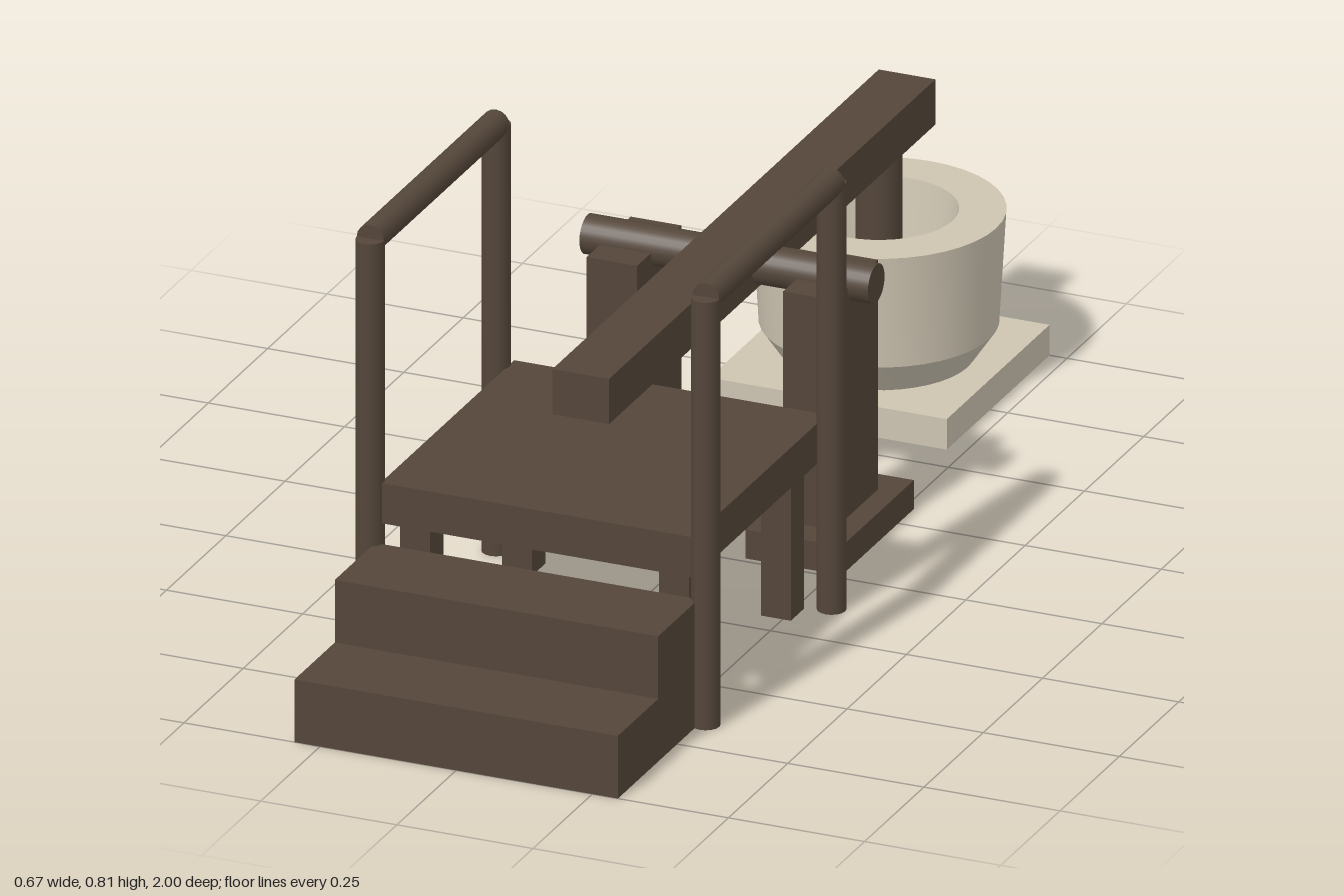
import * as THREE from 'three';
import { toCreasedNormals } from 'three/addons/utils/BufferGeometryUtils.js';

export function createModel() {
  const model = new THREE.Group();
  model.name = 'footPoweredMortar';
  const wood = new THREE.MeshStandardMaterial({ color: 0x54463a });
  wood.name = 'darkWood';
  const stone = new THREE.MeshStandardMaterial({ color: 0xcdc4b1 });
  stone.name = 'paleStone';

  const add = (name, geometry, material) => {
    const mesh = new THREE.Mesh(geometry, material);
    mesh.name = name;
    model.add(mesh);
    return mesh;
  };
  // Box given by its lower and upper limits on each axis
  const box = (name, [x0, x1], [y0, y1], [z0, z1], material = wood) =>
    add(name, new THREE.BoxGeometry(x1 - x0, y1 - y0, z1 - z0), material)
      .position.set((x0 + x1) / 2, (y0 + y1) / 2, (z0 + z1) / 2);
  // Round bar along one axis
  const bar = (name, radius, length, axis, x, y, z, sides = 24) => {
    const geometry = new THREE.CylinderGeometry(radius, radius, length, sides);
    if (axis === 'x') geometry.rotateZ(Math.PI / 2);
    if (axis === 'z') geometry.rotateX(Math.PI / 2);
    add(name, geometry, wood).position.set(x, y, z);
  };

  // Steps and platform
  box('lowerStep', [-0.297, 0.297], [0, 0.115], [0.83, 1]);
  box('upperStep', [-0.297, 0.297], [0, 0.23], [0.66, 0.83]);
  box('platform', [-0.287, 0.287], [0.268, 0.342], [0.097, 0.66]);

  for (const side of [-1, 1]) {
    const mirror = (a, b) => (side > 0 ? [a, b] : [-b, -a]);
    // Platform legs
    box('frontLeg', mirror(0.21, 0.265), [0, 0.27], [0.572, 0.628]);
    box('backLeg', mirror(0.21, 0.265), [0, 0.27], [0.142, 0.198]);
    // Handrail
    for (const z of [0.125, 0.655]) bar('railPost', 0.025, 0.785, 'y', side * 0.308, 0.3925, z, 16);
    bar('handrail', 0.025, 0.53, 'z', side * 0.308, 0.785, 0.39, 16);
    // Axle support
    box('supportBase', mirror(0.09, 0.267), [0, 0.053], [-0.316, -0.012]);
    box('supportPost', mirror(0.134, 0.227), [0.053, 0.475], [-0.256, -0.07]);
  }

  // Rocking beam with axle and pestle
  bar('axle', 0.035, 0.53, 'x', 0, 0.475, -0.162);
  box('beam', [-0.052, 0.052], [0.435, 0.518], [-0.9, 0.475]);
  bar('pestle', 0.04, 0.28, 'y', 0, 0.3, -0.782);

  // Stone mortar on its slab
  box('mortarSlab', [-0.218, 0.218], [0, 0.056], [-1, -0.567], stone);
  const profile = [
    [0, 0.056], [0.163, 0.056], [0.203, 0.115], [0.215, 0.32],
    [0.135, 0.32], [0.108, 0.15], [0, 0.15],
  ].map(([r, y]) => new THREE.Vector2(r, y));
  const bowl = toCreasedNormals(new THREE.LatheGeometry(profile, 40), 0.4);
  add('mortarBowl', bowl, stone).position.z = -0.782;

  return model;
}
